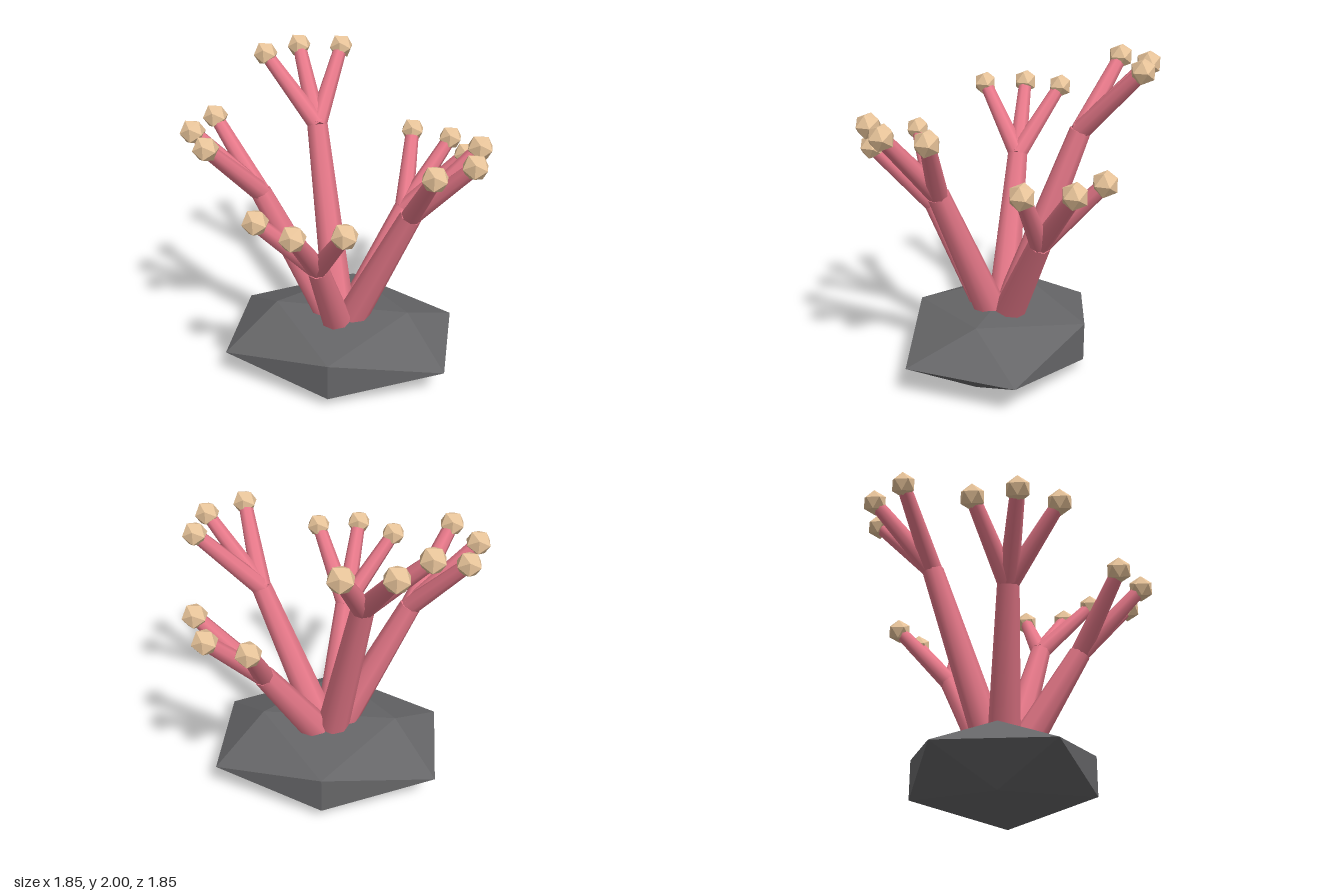
import * as THREE from 'three';

const coralMat = new THREE.MeshStandardMaterial({ color: 0xe8798a });
const tipMat = new THREE.MeshStandardMaterial({ color: 0xe8c49a, flatShading: true });
const rockMat = new THREE.MeshStandardMaterial({ color: 0x666668, flatShading: true });

// Tapered round limb from point a to point b
function limb(name, a, b, rStart, rEnd) {
  const dir = b.clone().sub(a);
  const mesh = new THREE.Mesh(new THREE.CylinderGeometry(rEnd, rStart, dir.length(), 8), coralMat);
  mesh.name = name;
  mesh.position.copy(a).addScaledVector(dir, 0.5);
  mesh.quaternion.setFromUnitVectors(new THREE.Vector3(0, 1, 0), dir.normalize());
  return mesh;
}

// Each branch: fork point, height of its tips, and the x, z of three tips
const branches = [
  { name: 'frontBranch', fork: [-0.04, 0.98, 0.45], tipY: 1.395, tips: [[-0.34, 0.70], [-0.10, 0.85], [0.17, 0.78]] },
  { name: 'leftBranch', fork: [0.48, 1.24, 0.19], tipY: 1.66, tips: [[0.855, 0.08], [0.835, 0.36], [0.625, 0.55]] },
  { name: 'backLeftBranch', fork: [0.39, 0.98, -0.41], tipY: 1.395, tips: [[0.40, -0.785], [0.66, -0.685], [0.77, -0.425]] },
  { name: 'backRightBranch', fork: [-0.20, 1.52, -0.47], tipY: 1.93, tips: [[-0.565, -0.62], [-0.385, -0.835], [-0.105, -0.86]] },
  { name: 'rightBranch', fork: [-0.47, 1.25, 0.03], tipY: 1.66, tips: [[-0.79, -0.16], [-0.855, 0.11], [-0.705, 0.35]] },
];

export function createModel() {
  const model = new THREE.Group();
  model.name = 'coral';

  // Squashed faceted rock
  const rock = new THREE.Mesh(new THREE.IcosahedronGeometry(1, 0), rockMat);
  rock.name = 'rockBase';
  rock.scale.set(0.836, 0.2385, 0.664);
  rock.position.set(0.03, 0.203, -0.035);
  model.add(rock);

  // Stems fan out of the rock, each forking into three twigs with knobs
  const root = new THREE.Vector3(0.03, 0.19, -0.035);
  const knobGeo = new THREE.IcosahedronGeometry(0.081, 0);
  for (const { name, fork, tipY, tips } of branches) {
    const branch = new THREE.Group();
    branch.name = name;
    const f = new THREE.Vector3(...fork);
    branch.add(limb('stem', root, f, 0.11, 0.068));
    for (const [x, z] of tips) {
      const tip = new THREE.Vector3(x, tipY, z);
      branch.add(limb('twig', f, tip, 0.062, 0.044));
      const knob = new THREE.Mesh(knobGeo, tipMat);
      knob.name = 'knob';
      knob.position.copy(tip);
      branch.add(knob);
    }
    model.add(branch);
  }
  return model;
}
